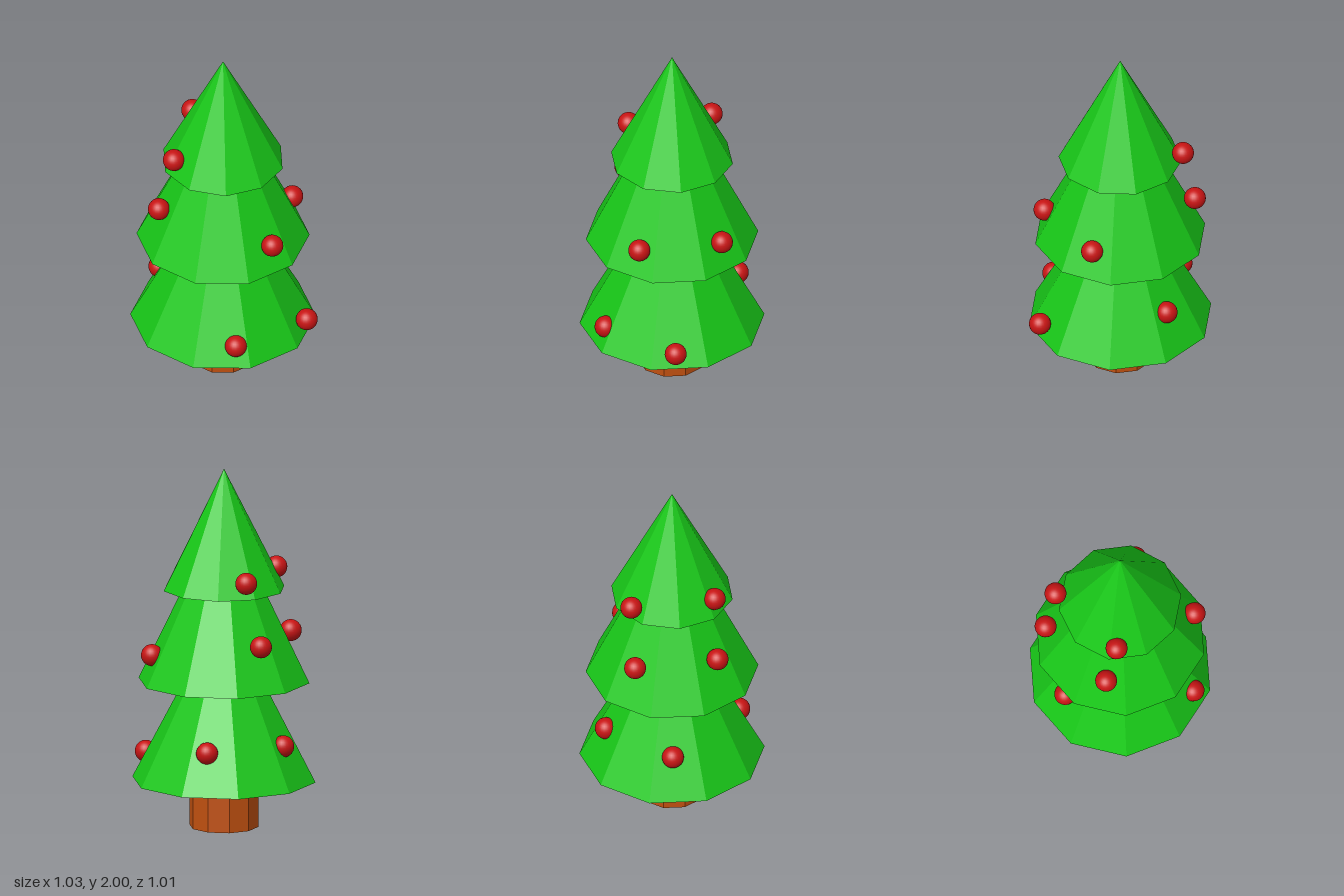
import * as THREE from 'three';

const AXIS_X = -0.036; // the tree stands slightly off centre; one bauble sticks out on the +x side
const SIDES = 10;

const paint = (color, flatShading) => new THREE.MeshStandardMaterial({ color, flatShading });

export function createModel() {
  const model = new THREE.Group();
  model.name = 'decoratedTree';
  const green = paint(0x18c818, true);
  const brown = paint(0xc05010, true);
  const red = paint(0xc81414, false);

  const add = (name, geometry, material, x, y, z) => {
    const mesh = new THREE.Mesh(geometry, material);
    mesh.name = name;
    mesh.position.set(x, y, z);
    model.add(mesh);
    return mesh;
  };

  // Trunk, reaching a little way into the lowest tier
  add('trunk', new THREE.CylinderGeometry(0.19, 0.19, 0.3, SIDES), brown, AXIS_X, 0.15, 0);

  // Three overlapping cones: base height, tip height, radius, turn in degrees
  const tiers = [
    ['lowerTier', 0.26, 1.23, 0.507, 0],
    ['middleTier', 0.815, 1.79, 0.473, 0],
    ['upperTier', 1.33, 2, 0.337, 21.4],
  ];
  for (const [name, base, tip, radius, turn] of tiers) {
    const cone = new THREE.ConeGeometry(radius, tip - base, SIDES);
    add(name, cone, green, AXIS_X, (base + tip) / 2, 0).rotation.y = THREE.MathUtils.degToRad(turn);
  }

  // Baubles, half sunk into the branches
  const bauble = new THREE.SphereGeometry(0.06, 24, 16);
  const spots = [
    [-0.245, 1.43, 0.22], [-0.295, 1.43, -0.24],
    [-0.378, 1.08, -0.225], [-0.328, 1.08, 0.23],
    [0.32, 0.973, 0.21], [0.28, 0.973, -0.247],
    [0.455, 0.365, 0.022], [0.168, 0.37, 0.382],
    [-0.41, 0.487, -0.02], [-0.12, 0.487, -0.368],
  ];
  spots.forEach(([x, y, z], i) => add(`bauble${i + 1}`, bauble, red, x, y, z));

  return model;
}
